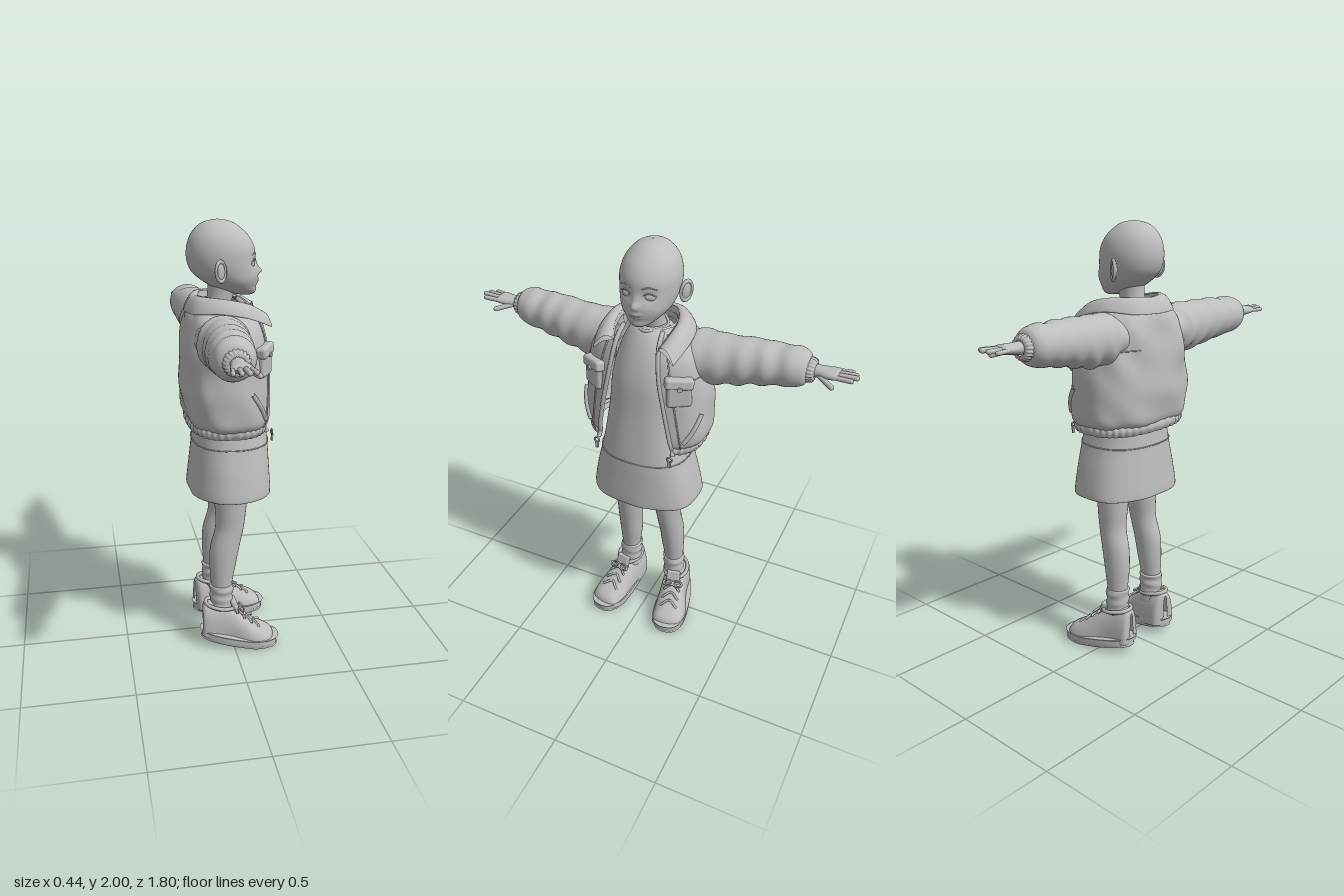
import * as THREE from 'three';
import { mergeVertices, mergeGeometries } from 'three/addons/utils/BufferGeometryUtils.js';
import { RoundedBoxGeometry } from 'three/addons/geometries/RoundedBoxGeometry.js';

const V = (x, y, z) => new THREE.Vector3(x, y, z);
const { sin, cos, PI, abs, sign, exp, max, min } = Math;

// smooth interpolation through a list of equal-length rows
function at(rows, u) {
  const n = rows.length - 1, f = min(max(u, 0), 1) * n, i = min(Math.floor(f), n - 1), t = f - i;
  const [a, b, c, d] = [rows[max(i - 1, 0)], rows[i], rows[i + 1], rows[min(i + 2, n)]];
  return b.map((_, k) => b[k] + 0.5 * t * (c[k] - a[k] + t * (2 * a[k] - 5 * b[k] + 4 * c[k] - d[k]
    + t * (3 * (b[k] - c[k]) + d[k] - a[k]))));
}
// smooth surface from a rule fn(u, v) -> [x, y, z]
function surface(fn, nu, nv) {
  const pos = [], idx = [], w = nv + 1;
  for (let i = 0; i <= nu; i++) for (let j = 0; j <= nv; j++) {
    pos.push(...fn(i / nu, j / nv));
    if (i < nu && j < nv) {
      const a = i * w + j;
      idx.push(a, a + 1, a + w + 1, a, a + w + 1, a + w);
    }
  }
  const g = new THREE.BufferGeometry();
  g.setAttribute('position', new THREE.Float32BufferAttribute(pos, 3));
  g.setIndex(idx);
  const m = mergeVertices(g, 1e-5);
  m.computeVertexNormals();
  return m;
}
const pw = (c, n) => sign(c) * abs(c) ** (2 / n);
// point on an upright ring row [y, cx, cz, rx, rz, roundness]
const ring = ([y, cx, cz, rx, rz, n = 2], t, k = 0) =>
  [cx + (rx + k) * pw(sin(t), n), y, cz + (rz + k) * pw(cos(t), n)];
const upright = (rows, nu = 32, nv = 40, warp = p => p) =>
  surface((u, v) => warp(ring(at(rows, u), v * 2 * PI)), nu, nv);
// loft along x, rows [x, cy, cz, ry, rz], with an optional radius ripple
const sideways = (rows, nu, nv, ripple = () => 0) => surface((u, v) => {
  const [x, cy, cz, ry, rz] = at(rows, u), t = v * 2 * PI, k = ripple(x, t);
  return [x, cy + (ry + k) * cos(t), cz + (rz + k) * sin(t)];
}, nu, nv);
const tube = (pts, r, seg = 20, closed = false) =>
  new THREE.TubeGeometry(new THREE.CatmullRomCurve3(pts.map(p => V(...p)), closed), seg, r, 6, closed);
const ball = (x, y, z, sx, sy, sz, ry = 0) =>
  new THREE.SphereGeometry(1, 20, 14).scale(sx, sy, sz).rotateY(ry).translate(x, y, z);
const line = (f, n = 16) => [...Array(n + 1).keys()].map(i => f(i / n));

export function createModel() {
  const group = new THREE.Group();
  const grey = new THREE.MeshStandardMaterial({ color: 0xbdbdbd, side: THREE.DoubleSide });
  grey.name = 'plain grey';
  const add = (name, geo) => {
    const m = new THREE.Mesh(geo, grey);
    m.name = name;
    group.add(m);
  };
  // the given part on the left, its mirror image on the right
  const both = (name, geo) => {
    add('left ' + name, geo);
    const g = geo.clone().scale(-1, 1, 1);
    if (!g.index) g.setIndex([...Array(g.attributes.position.count).keys()]);
    const a = g.index.array;
    for (let i = 0; i < a.length; i += 3) [a[i], a[i + 1]] = [a[i + 1], a[i]];
    add('right ' + name, g);
  };

  // head with modelled nose, lips and eye sockets
  const bump = (x, y, px, py, wx, wy) => exp(-(((x - px) / wx) ** 2) - ((y - py) / wy) ** 2);
  add('head', upright([
    [1.672, 0, 0.085, 0.004, 0.006], [1.675, 0, 0.082, 0.028, 0.034], [1.688, 0, 0.06, 0.053, 0.07],
    [1.71, 0, 0.033, 0.08, 0.098], [1.74, 0, 0.012, 0.104, 0.125], [1.78, 0, -0.012, 0.12, 0.146],
    [1.83, 0, -0.025, 0.128, 0.152], [1.88, 0, -0.028, 0.127, 0.149], [1.93, 0, -0.034, 0.111, 0.128],
    [1.97, 0, -0.04, 0.079, 0.09], [1.99, 0, -0.04, 0.047, 0.054], [2, 0, -0.04, 0.001, 0.001],
  ], 72, 72, ([x, y, z]) => {
    if (z > 0.03) z += 0.02 * bump(x, y, 0, 1.775, 0.016, 0.016) + 0.006 * bump(x, y, 0, 1.8, 0.012, 0.03)
      + 0.007 * bump(x, y, 0, 1.741, 0.026, 0.006) + 0.008 * bump(x, y, 0, 1.726, 0.022, 0.006)
      - 0.009 * bump(abs(x), y, 0.05, 1.815, 0.026, 0.018) + 0.004 * bump(abs(x), y, 0.055, 1.765, 0.03, 0.022);
    return [x, y, z];
  }));
  both('eye', ball(0.051, 1.814, 0.1, 0.027, 0.018, 0.015, 0.35));
  both('eyelid', tube([[0.023, 1.812, 0.117], [0.037, 1.828, 0.117], [0.056, 1.832, 0.111], [0.078, 1.818, 0.095]], 0.003));
  both('eyebrow', tube([[0.024, 1.85, 0.122], [0.05, 1.858, 0.113], [0.08, 1.846, 0.09]], 0.0035));
  add('mouth line', tube([[-0.03, 1.738, 0.131], [-0.012, 1.733, 0.142], [0.012, 1.733, 0.142], [0.03, 1.738, 0.131]], 0.0018));
  both('ear', mergeGeometries([
    ball(0, 0, 0, 0.012, 0.044, 0.027),
    new THREE.TorusGeometry(0.03, 0.007, 8, 24).rotateY(PI / 2).scale(1, 1.4, 0.9).translate(0.005, 0, 0),
  ]).rotateX(-0.12).rotateY(-0.6).translate(0.142, 1.795, -0.055));
  add('neck', upright([[1.56, 0, -0.05, 0.075, 0.07], [1.62, 0, -0.045, 0.058, 0.06], [1.67, 0, -0.03, 0.054, 0.058],
    [1.74, 0, -0.02, 0.06, 0.065]], 16, 32));

  // dress, with its lower edge turned in
  add('dress', upright([
    [0.8, 0, 0.005, 0.238, 0.172, 2.4], [0.778, 0, 0.005, 0.25, 0.184, 2.4], [0.785, 0, 0.005, 0.26, 0.191, 2.4],
    [0.9, 0, 0.008, 0.238, 0.182, 2.4], [1, 0, 0.01, 0.212, 0.174, 2.4], [1.1, 0, 0.008, 0.192, 0.164, 2.4],
    [1.25, 0, 0, 0.172, 0.152, 2.4], [1.4, 0, -0.01, 0.16, 0.146, 2.4], [1.52, 0, -0.028, 0.135, 0.13, 2.2],
    [1.6, 0, -0.035, 0.1, 0.098, 2], [1.635, 0, -0.035, 0.064, 0.064, 2],
  ], 50, 64, ([x, y, z]) => {
    const k = 1 + 0.036 * sin(7 * Math.atan2(x, z) + 0.6) * max(0, 1.1 - y);
    return [x * k, y, z * k];
  }));
  add('neckline', tube([[0, 1.62, 0.045], [0.075, 1.628, -0.03], [0, 1.636, -0.115], [-0.075, 1.628, -0.03]], 0.007, 40, true));
  add('waist seam', tube([...Array(24).keys()].map(i => ring([1.01, 0, 0.01, 0.211, 0.175, 2.4], i * PI / 12)), 0.003, 72, true));

  // open jacket; the last value of each row is half the width of the opening
  const jacketRows = [
    [1.115, 0, -0.01, 0.272, 0.175, 2.6, 0.18], [1.15, 0, -0.015, 0.292, 0.19, 2.6, 0.175],
    [1.24, 0, -0.017, 0.293, 0.194, 2.6, 0.16], [1.34, 0, -0.018, 0.286, 0.193, 2.6, 0.142],
    [1.44, 0, -0.02, 0.274, 0.188, 2.6, 0.122], [1.53, 0, -0.025, 0.255, 0.177, 2.5, 0.108],
    [1.59, 0, -0.028, 0.215, 0.16, 2.3, 0.1], [1.63, 0, -0.03, 0.16, 0.135, 2.1, 0.095],
    [1.65, 0, -0.03, 0.125, 0.11, 2, 0.09],
  ];
  const fold = (y, t) => 0.006 * sin(24 * y + 2.5 * cos(t * 2)) * sin(3 * t + 9 * y) + 0.003 * sin(8 * t + 20 * y);
  const jacketPoint = (u, v, out = 0) => {
    const r = at(jacketRows, u), a = Math.asin((r[6] / r[3]) ** (r[5] / 2));
    const t = a + v * 2 * (PI - a);
    return ring(r, t, out + fold(r[0], t) * sin(PI * v));
  };
  add('jacket body', surface((u, v) => jacketPoint(u, v), 40, 90));
  add('jacket lining', surface((u, v) => jacketPoint(u, v, -0.014), 24, 48));
  add('jacket hem', surface((u, v) => {
    const a = 0.62, t = a + v * 2 * (PI - a), k = 0.012 * sin(PI * u) + 0.003 * sin(t * 40);
    return ring([1.08 + 0.055 * u, 0, -0.01, 0.263, 0.172, 2.6], t, k);
  }, 6, 220));
  both('jacket front edge', tube([[0.183, 1.085, 0.15], ...line(s => jacketPoint(s * 0.94, 0, -0.004))], 0.011, 50));
  both('zip', tube(line(s => jacketPoint(s * 0.9, 0.035, 0.002)), 0.004, 40));
  both('zip pull', mergeGeometries([new THREE.TorusGeometry(0.012, 0.004, 8, 16).translate(0.18, 1.082, 0.172),
    new THREE.BoxGeometry(0.014, 0.034, 0.008).translate(0.18, 1.058, 0.174)]));
  both('side pocket welt', tube(line(s => jacketPoint(0.14 + 0.17 * s, 0.05 + 0.1 * s, 0.003), 8), 0.011));
  both('jacket seam', tube(line(s => jacketPoint(0.53, 0.03 + 0.4 * s, 0.001)), 0.003, 40));
  // chest pocket with flap and button
  both('chest pocket', new RoundedBoxGeometry(0.11, 0.115, 0.04, 3, 0.016).rotateY(0.55).translate(0.2, 1.405, 0.128));
  both('chest pocket flap', new RoundedBoxGeometry(0.125, 0.05, 0.05, 3, 0.014).rotateX(-0.15).rotateY(0.55)
    .rotateZ(-0.12).translate(0.2, 1.462, 0.13));
  both('pocket button', new THREE.CylinderGeometry(0.011, 0.011, 0.01, 16).rotateX(PI / 2).rotateY(0.55).translate(0.214, 1.445, 0.154));

  // folded collar between a neck line and an outer line
  const neckLine = [[0, 1.665, -0.13], [0.085, 1.672, -0.105], [0.125, 1.662, -0.02], [0.125, 1.64, 0.07], [0.105, 1.6, 0.13]];
  const outerLine = [[0, 1.61, -0.195], [0.125, 1.612, -0.165], [0.195, 1.622, -0.06], [0.208, 1.602, 0.06], [0.185, 1.56, 0.165]];
  add('collar', surface((u, v) => {
    const s = 1 - 2 * u, f = v * 2 * PI, k = 0.5 - 0.5 * cos(f);
    const a = at(neckLine, abs(s)), b = at(outerLine, abs(s));
    const p = a.map((q, i) => q + (b[i] - q) * k);
    return [p[0] * sign(s), p[1] + 0.012 * sin(f) + 0.02 * sin(PI * k), p[2]];
  }, 56, 20));
  add('collar stand', surface((u, v) => {
    const s = 1 - 2 * u, a = at(neckLine, abs(s));
    return [a[0] * sign(s) * (1 - 0.08 * v), a[1] + 0.008 - 0.06 * v, a[2]];
  }, 48, 4));

  // puffy sleeves with soft folds, ribbed cuffs
  both('sleeve', sideways([
    [0.13, 1.51, -0.05, 0.085, 0.1], [0.2, 1.51, -0.055, 0.108, 0.118], [0.27, 1.508, -0.058, 0.115, 0.114],
    [0.35, 1.511, -0.062, 0.11, 0.104], [0.45, 1.523, -0.073, 0.102, 0.1], [0.56, 1.53, -0.085, 0.091, 0.093],
    [0.64, 1.535, -0.09, 0.085, 0.087], [0.675, 1.537, -0.09, 0.072, 0.073], [0.69, 1.537, -0.09, 0.048, 0.05],
  ], 72, 40, (x, t) => 0.006 * sin(62 * x + 1.6 * sin(t) + 1.2 * cos(2 * t)) * (0.6 + 0.4 * cos(t + 9 * x)) * max(0, 1 - (x / 0.69) ** 8)));
  both('cuff', sideways([[0.665, 1.536, -0.09, 0.055, 0.056], [0.69, 1.536, -0.09, 0.053, 0.054], [0.712, 1.536, -0.09, 0.046, 0.048],
    [0.715, 1.536, -0.09, 0.03, 0.03]], 8, 96, (x, t) => 0.0025 * sin(t * 20)));

  // hands
  both('palm', sideways([[0.66, 1.537, -0.09, 0.03, 0.032], [0.72, 1.538, -0.09, 0.026, 0.031], [0.765, 1.54, -0.09, 0.022, 0.041],
    [0.805, 1.543, -0.091, 0.018, 0.044], [0.82, 1.544, -0.091, 0.001, 0.03]], 20, 24));
  const finger = (name, a, b, r) => {
    const d = V(...b).sub(V(...a)), m = V(...a).add(V(...b)).multiplyScalar(0.5);
    const q = new THREE.Quaternion().setFromUnitVectors(V(0, 1, 0), d.clone().normalize());
    both(name, new THREE.CapsuleGeometry(r, d.length(), 5, 10).applyQuaternion(q).translate(m.x, m.y, m.z));
  };
  finger('little finger', [0.795, 1.541, -0.125], [0.857, 1.541, -0.136], 0.0095);
  finger('ring finger', [0.8, 1.544, -0.102], [0.878, 1.546, -0.108], 0.0105);
  finger('middle finger', [0.8, 1.545, -0.08], [0.887, 1.549, -0.081], 0.011);
  finger('index finger', [0.8, 1.543, -0.058], [0.87, 1.546, -0.053], 0.0105);
  finger('thumb', [0.735, 1.53, -0.067], [0.8, 1.514, -0.025], 0.0115);

  // legs and socks
  both('leg', upright([
    [0.2, 0.12, -0.05, 0.042, 0.046], [0.3, 0.12, -0.048, 0.046, 0.05], [0.4, 0.116, -0.042, 0.054, 0.062],
    [0.5, 0.113, -0.03, 0.057, 0.07], [0.6, 0.107, -0.006, 0.058, 0.068], [0.7, 0.1, 0, 0.068, 0.075],
    [0.8, 0.094, 0.004, 0.075, 0.082], [0.95, 0.09, 0.005, 0.078, 0.085]], 32, 28));
  both('sock', upright([[0.16, 0.125, -0.05, 0.05, 0.054], [0.22, 0.122, -0.05, 0.05, 0.054], [0.28, 0.12, -0.048, 0.052, 0.056],
    [0.302, 0.12, -0.048, 0.052, 0.056], [0.306, 0.12, -0.048, 0.044, 0.048]], 24, 28,
    ([x, y, z]) => [x + 0.003 * sin(y * 140), y, z + 0.002 * sin(y * 120)]));

  // high shoes, turned out a little with lifted heels
  const lift = z => 0.15 * max(0, 0.11 - z);
  const place = g => g.rotateY(0.16).translate(0.147, 0, 0);
  const upper = [[-0.143, 0, 0.012, 0.16], [-0.14, 0, 0.045, 0.17], [-0.12, -0.004, 0.061, 0.186], [-0.05, -0.008, 0.066, 0.188],
    [0, -0.006, 0.069, 0.178], [0.05, 0, 0.076, 0.148], [0.1, 0.004, 0.083, 0.118], [0.15, 0.004, 0.08, 0.093],
    [0.185, 0, 0.063, 0.07], [0.2, 0, 0.02, 0.04]];
  both('shoe upper', place(surface((u, v) => {
    const [z, cx, w, top] = at(upper, u), t = v * 2 * PI, c = cos(t);
    return [cx - w * pw(sin(t), 2.5), 0.02 + lift(z) + (c > 0 ? (top - 0.02) * pw(c, 2.3) : 0.01 * c), z];
  }, 40, 36)));
  both('shoe sole', place(upright([
    [0, 0, 0.033, 0.001, 0.001, 2.5], [0, 0, 0.033, 0.07, 0.168, 2.5], [0.008, 0, 0.033, 0.08, 0.18, 2.5],
    [0.035, 0, 0.033, 0.081, 0.181, 2.5], [0.046, 0, 0.033, 0.076, 0.176, 2.5], [0.046, 0, 0.033, 0.001, 0.001, 2.5],
  ], 30, 56, ([x, y, z]) => [x * (1 + 0.75 * z) + 0.004, max(0, y + lift(z)), z])));
  const arch = (z, w, h) => line(s => [w * (2 * s - 1), h - 0.02 * (2 * s - 1) ** 2, z + 0.012 * cos(PI * s * 2)], 8);
  for (let i = 0; i < 4; i++) {
    const z = 0.115 - 0.034 * i, top = at(upper, 0.685 - 0.075 * i)[3];
    both('shoe lace', place(tube(arch(z, 0.042, top + lift(z) + 0.004), 0.006)));
  }
  both('shoe tongue', place(new RoundedBoxGeometry(0.07, 0.075, 0.022, 3, 0.01).rotateX(-0.35).translate(-0.005, 0.195, 0.012)));
  both('shoe collar', place(tube([...Array(20).keys()].map(i =>
    ring([0.204 - 0.012 * cos(i * PI / 10), -0.006, -0.058, 0.058, 0.07], i * PI / 10)), 0.01, 40, true)));
  both('bow loop', place(mergeGeometries([-1, 1].map(s =>
    new THREE.TorusGeometry(0.018, 0.005, 8, 16).scale(1.3, 0.8, 1).rotateX(-0.8).translate(s * 0.024, 0.18, 0.042)))));

  // the figure faces +x with its arms along z
  group.rotation.y = PI / 2;
  group.name = 'figure';
  const model = new THREE.Group();
  model.name = 'standing figure';
  model.add(group);
  return model;
}
